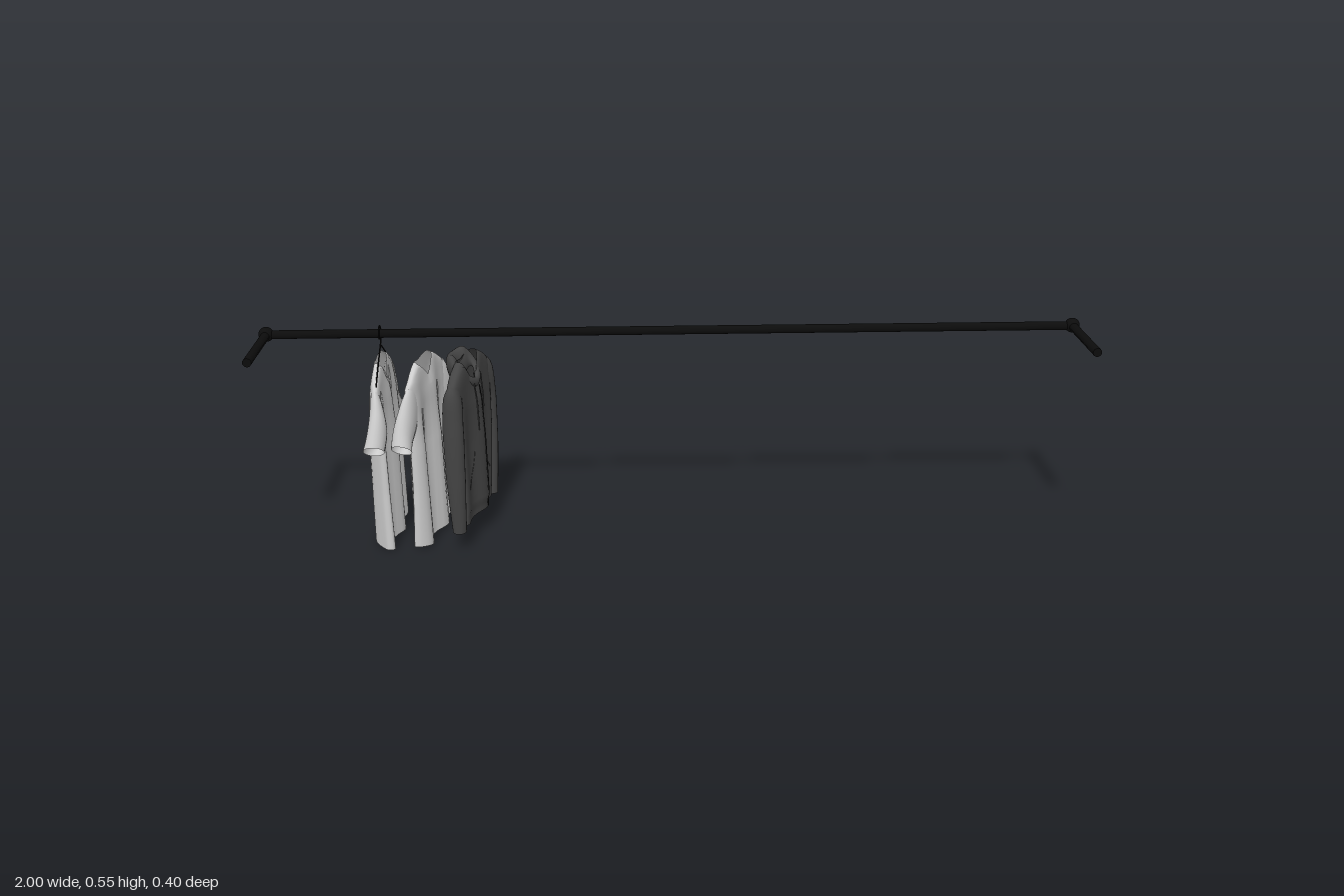
import * as THREE from 'three';

const V = (x, y, z) => new THREE.Vector3(x, y, z);
const black = new THREE.MeshStandardMaterial({ color: 0x0c0c0c });
const cloth = new THREE.MeshStandardMaterial({ color: 0xcccccc, side: THREE.DoubleSide });
const darkCloth = new THREE.MeshStandardMaterial({ color: 0x444444, side: THREE.DoubleSide });
const SEG = 48;

function add(parent, name, geometry, material) {
  const mesh = new THREE.Mesh(geometry, material);
  mesh.name = name;
  parent.add(mesh);
  return mesh;
}

// Skin through rings of equal point count; each ring is closed
function loft(rings, closeEnds = false) {
  const n = rings[0].length, m = rings.length, index = [];
  for (let i = 0; i < (closeEnds ? m : m - 1); i++) {
    for (let j = 0; j < n; j++) {
      const a = i * n + j, b = i * n + (j + 1) % n;
      const c = ((i + 1) % m) * n + j, d = ((i + 1) % m) * n + (j + 1) % n;
      index.push(a, b, c, b, d, c);
    }
  }
  const g = new THREE.BufferGeometry().setFromPoints(rings.flat());
  g.setIndex(index);
  g.computeVertexNormals();
  return g;
}

// Ellipse around a centre with two half axes
function ellipse(c, a, b, n = 20) {
  return Array.from({ length: n }, (_, j) => {
    const t = j / n * Math.PI * 2;
    return c.clone().addScaledVector(a, Math.cos(t)).addScaledVector(b, Math.sin(t));
  });
}

const wire = (pts, r) =>
  new THREE.TubeGeometry(new THREE.CatmullRomCurve3(pts, false, 'centripetal'), pts.length * 8, r, 6);

// Profile rows are [y, half width, half thickness], top to bottom
function profileAt(profile, y) {
  let i = 0;
  while (i < profile.length - 2 && y < profile[i + 1][0]) i++;
  const p = profile[i], q = profile[i + 1], t = (y - p[0]) / (q[0] - p[0]);
  return [THREE.MathUtils.lerp(p[1], q[1], t), THREE.MathUtils.lerp(p[2], q[2], t)];
}

// Hanging folds that deepen towards the hem
const foldShift = (s, y, z) =>
  s.fold * THREE.MathUtils.clamp((0.46 - y) / 0.2, 0, 1) * Math.sin(z * 56 + s.phase + (0.4 - y) * 1.5);

// A garment hangs in the y/z plane and its chest faces +x
function garment(name, s, material) {
  const g = new THREE.Group();
  g.name = name;
  const top = s.profile[0][0], bottom = s.profile[s.profile.length - 1][0];

  // Torso, open at neck and hem
  const rings = [];
  for (let i = 0; i <= 40; i++) {
    const y0 = top + (bottom - top) * i / 40, [w, t] = profileAt(s.profile, y0), ring = [];
    for (let j = 0; j < SEG; j++) {
      const a = j / SEG * Math.PI * 2, z = w * Math.cos(a), sn = Math.sin(a);
      const near = Math.max(0, 1 - Math.abs(z) / 0.055);
      const high = Math.max(0, (y0 - s.scoopFrom) / (top - s.scoopFrom));
      const y = y0 - (sn > 0 ? s.scoop : 0.01) * near * high
        + 0.004 * Math.sin(z * 40 + s.phase) * Math.max(0, 1 - (y0 - bottom) / 0.06);
      ring.push(V(Math.sign(sn) * t * Math.abs(sn) ** 0.7 + foldShift(s, y0, z), y, z));
    }
    rings.push(ring);
  }
  add(g, 'torso', loft(rings), material);

  // Sleeves from outer and inner edge lines, mirrored in z
  for (const side of [1, -1]) {
    const line = (pts) => new THREE.CatmullRomCurve3(pts.map(([z, y]) => V(0, y, z * side)));
    const outer = line(s.outer).getPoints(20), inner = line(s.inner).getPoints(20);
    const sleeve = outer.map((o, i) => {
      const c = o.clone().add(inner[i]).multiplyScalar(0.5);
      const k = i / 20 * (s.thick.length - 1), f = Math.min(Math.floor(k), s.thick.length - 2);
      const b = THREE.MathUtils.lerp(s.thick[f], s.thick[f + 1], k - f);
      const a = o.clone().sub(c);
      c.x = foldShift(s, c.y, c.z) * 0.8;
      return ellipse(c, a, V(b, 0, 0));
    });
    add(g, side > 0 ? 'leftSleeve' : 'rightSleeve', loft(sleeve), material);
  }
  g.position.set(s.x, 0, -0.014);
  g.rotation.y = s.turn;
  return g;
}

const shirt = {
  profile: [[0.468, 0.05, 0.012], [0.445, 0.09, 0.014], [0.422, 0.126, 0.016], [0.38, 0.127, 0.02],
    [0.3, 0.12, 0.021], [0.15, 0.118, 0.023], [0.006, 0.121, 0.025]],
  scoop: 0.045, scoopFrom: 0.4, fold: 0.011,
  outer: [[0.1, 0.43], [0.13, 0.42], [0.158, 0.375], [0.188, 0.303]],
  inner: [[0.085, 0.33], [0.1, 0.31], [0.122, 0.288], [0.148, 0.266]],
  thick: [0.012, 0.016, 0.022, 0.025],
};

const hoodie = {
  profile: [[0.468, 0.055, 0.016], [0.445, 0.1, 0.02], [0.42, 0.134, 0.022], [0.36, 0.122, 0.028],
    [0.28, 0.112, 0.03], [0.15, 0.104, 0.031], [0.09, 0.1, 0.031], [0.084, 0.1, 0.028], [0.06, 0.1, 0.027]],
  scoop: 0.075, scoopFrom: 0.36, fold: 0.008,
  outer: [[0.1, 0.435], [0.136, 0.42], [0.148, 0.34], [0.148, 0.2], [0.14, 0.05]],
  inner: [[0.08, 0.36], [0.1, 0.33], [0.11, 0.27], [0.111, 0.17], [0.107, 0.052]],
  thick: [0.016, 0.024, 0.026, 0.024, 0.017],
};

export function createModel() {
  const model = new THREE.Group();
  model.name = 'clothesRail';
  const railY = 0.528, railZ = -0.009;

  // Rail with ball corners and wall arms
  const rail = new THREE.Group();
  rail.name = 'rail';
  model.add(rail);
  const bar = add(rail, 'bar', new THREE.CylinderGeometry(0.0105, 0.0105, 1.96, 24), black);
  bar.rotation.z = Math.PI / 2;
  bar.position.set(0, railY, railZ);
  for (const side of [1, -1]) {
    const ball = add(rail, 'cornerBall', new THREE.SphereGeometry(0.018, 24, 16), black);
    ball.position.set(side * 0.982, railY + 0.001, railZ);
    const arm = add(rail, 'wallArm', new THREE.CylinderGeometry(0.0105, 0.0105, 0.2 - railZ, 24), black);
    arm.rotation.x = Math.PI / 2;
    arm.position.set(side * 0.982, railY, (0.2 + railZ) / 2);
  }

  // Wire hanger: hook over the rail and sloping shoulders
  const hanger = new THREE.Group();
  hanger.name = 'hanger';
  hanger.position.x = -0.71;
  model.add(hanger);
  const hook = [];
  for (let i = 0; i <= 8; i++) {
    const a = Math.PI * (1.15 - i / 8 * 1.45);
    hook.push(V(0, railY + Math.sin(a) * 0.018, railZ - 0.002 - Math.cos(a) * 0.018));
  }
  hook.reverse().push(V(0, 0.512, -0.02), V(0, 0.5, -0.01));
  add(hanger, 'hook', wire(hook, 0.0018), black);
  for (const side of [1, -1]) {
    add(hanger, 'shoulderWire', wire([V(0, 0.5, -0.01), V(0, 0.466, -0.01 + side * 0.055),
      V(0, 0.428, -0.01 + side * 0.11)], 0.0018), black);
  }

  // Two short-sleeved shirts
  model.add(garment('firstShirt', { ...shirt, x: -0.714, turn: 0, phase: 0.4 }, cloth));
  model.add(garment('secondShirt', { ...shirt, x: -0.612, turn: -0.21, phase: 2.2 }, cloth));

  // Hooded jacket
  const spec = { ...hoodie, x: -0.505, turn: -0.24, phase: 1.2 };
  const jacket = garment('hoodedJacket', spec, darkCloth);
  model.add(jacket);

  // Hood: a roll of cloth meeting in a V in front and sagging behind
  const hood = [];
  for (let i = 0; i < 40; i++) {
    const a = i / 40 * Math.PI * 2, back = (1 - Math.cos(a)) / 2;
    const c = V(0.026 * Math.cos(a) - 0.004, 0.402 + 0.062 * Math.min(1, 1.25 * back ** 0.8) - 0.03 * back ** 3,
      0.046 * Math.sin(a));
    const out = V(Math.cos(a), 0, Math.sin(a)).multiplyScalar(0.007 + 0.009 * back);
    hood.push(ellipse(c, out, V(-0.008 * back, 0.012 + 0.028 * back ** 2, 0), 16));
  }
  add(jacket, 'hood', loft(hood, true), darkCloth);

  // Lines lying on the chest, given as [z, y] points
  const onChest = (pts, lift) => pts.map(([z, y]) => {
    const [w, t] = profileAt(spec.profile, y);
    return V(t * (1 - (z / w) ** 2) ** 0.35 + foldShift(spec, y, z) + lift, y, z);
  });
  const run = (z, y0, y1) => Array.from({ length: 8 }, (_, i) => [z, y0 + (y1 - y0) * i / 7]);
  add(jacket, 'zip', wire(onChest(run(-0.011, 0.39, 0.065), 0), 0.0012), black);
  add(jacket, 'leftDrawstring', wire(onChest(run(0.025, 0.405, 0.285), 0.002), 0.0015), darkCloth);
  add(jacket, 'rightDrawstring', wire(onChest(run(-0.034, 0.41, 0.325), 0.002), 0.0015), darkCloth);
  for (const side of [1, -1]) {
    const edge = [[0.04, 0.235], [0.047, 0.2], [0.06, 0.17], [0.078, 0.145]].map(([z, y]) => [z * side, y]);
    add(jacket, 'pocketEdge', wire(onChest(edge, 0), 0.0012), darkCloth);
  }
  return model;
}
